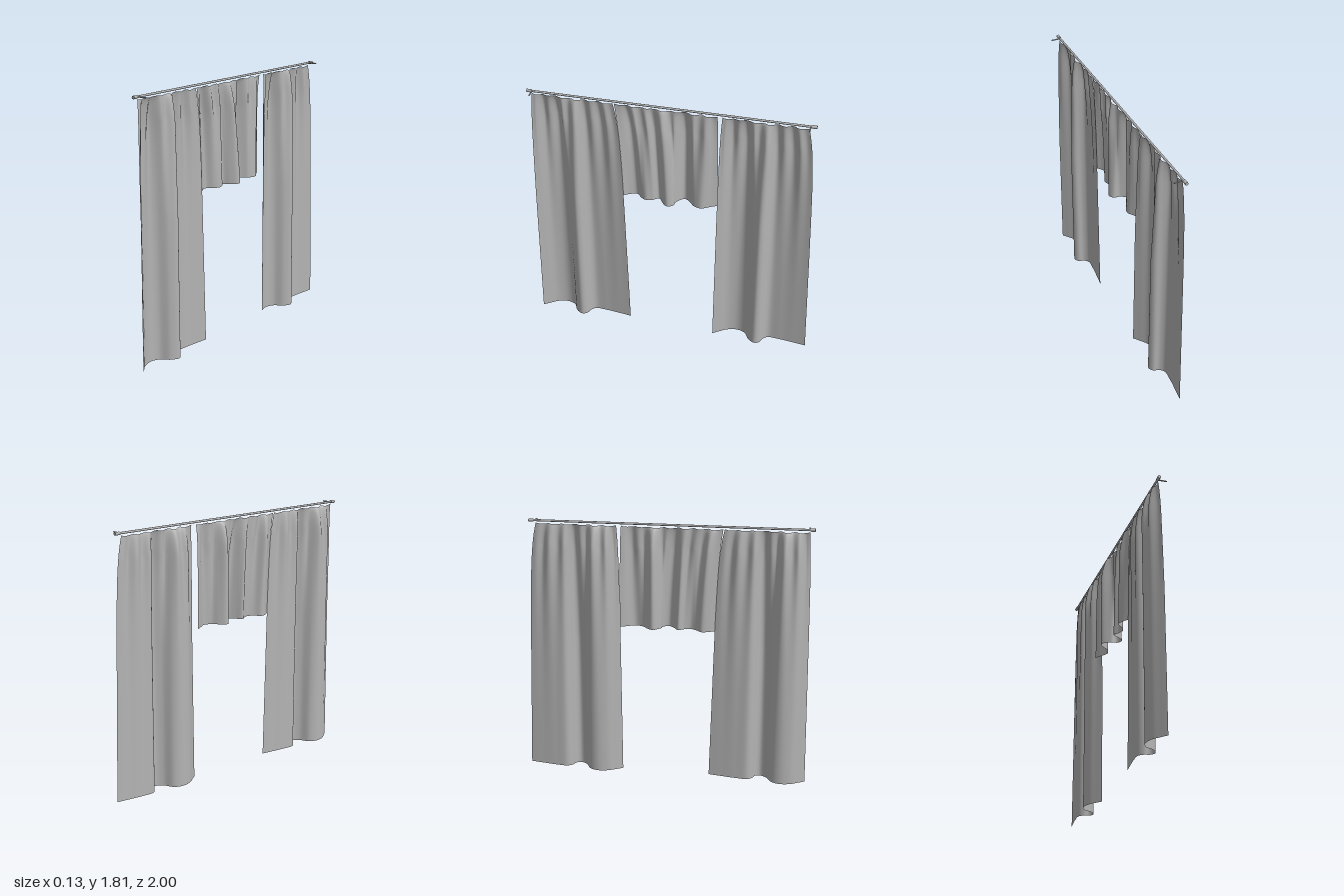
import * as THREE from 'three';

const fabric = new THREE.MeshStandardMaterial({ color: 0xb4b4b4, side: THREE.DoubleSide });
fabric.name = 'grey';

const curve = pts => new THREE.CatmullRomCurve3(pts.map(([z, x]) => new THREE.Vector3(x, 0, z)), false, 'centripetal');
const lerp = THREE.MathUtils.lerp;

// Hanging cloth: a gathered top edge that opens into the wide folds of the hem profile.
function cloth({ name, hem, topZ, topY, hemY, pleats, cols = 120, rows = 60 }) {
  const hemPoints = curve(hem).getSpacedPoints(cols);
  const geo = new THREE.PlaneGeometry(1, 1, cols, rows);
  const pos = geo.attributes.position;
  for (let j = 0; j <= rows; j++) {
    const t = (j / rows) ** 1.5; // denser rows near the gathers
    for (let i = 0; i <= cols; i++) {
      const u = i / cols;
      const p = hemPoints[i];
      const yTop = topY - 0.007 * Math.abs(Math.sin(pleats * Math.PI * u));
      const y = lerp(yTop, lerp(hemY[0], hemY[1], u), t);
      const d = Math.max(0, topY - y);
      // folds swell quickly below the heading, a little slower towards +x
      const s = Math.min(1, d / 0.25);
      let swell = Math.sqrt(1 - (1 - s) ** 2);
      if (p.x > 0) swell *= 0.55 + 0.45 * Math.min(1, d / 0.8);
      // narrow gathers fade out down the cloth
      const gather = (0.008 + 0.014 * Math.min(1, d / 0.15)) * Math.exp(-d * 2.4);
      const wave = Math.sin(pleats * 2 * Math.PI * u + 0.6 * Math.sin(5 * u));
      const edge = Math.min(1, 8 * u, 8 * (1 - u));
      const x = -0.005 * (1 - swell) + p.x * swell * (1 - 0.25 * Math.exp(-d * 3)) + gather * wave * edge;
      // width opens from the heading to the hem
      const open = 0.45 * (1 - Math.exp(-d * 6)) + 0.55 * t;
      const z = lerp(lerp(topZ[0], topZ[1], u), p.z, open);
      pos.setXYZ(j * (cols + 1) + i, x, y, z);
    }
  }
  geo.computeVertexNormals();
  const mesh = new THREE.Mesh(geo, fabric);
  mesh.name = name;
  return mesh;
}

function cylinder(name, radius, length, axis, x, y, z) {
  const geo = new THREE.CylinderGeometry(radius, radius, length, 16);
  if (axis === 'z') geo.rotateX(Math.PI / 2);
  else geo.rotateZ(Math.PI / 2);
  const mesh = new THREE.Mesh(geo, fabric);
  mesh.name = name;
  mesh.position.set(x, y, z);
  return mesh;
}

export function createModel() {
  const group = new THREE.Group();
  group.name = 'curtains';

  // Two matching full-length panels
  const panelHem = [[0.99, 0.02], [0.95, -0.01], [0.89, -0.05], [0.82, -0.064], [0.76, -0.04],
    [0.72, 0.025], [0.67, 0.054], [0.635, 0.035], [0.62, -0.005], [0.585, -0.033],
    [0.5, -0.03], [0.4, -0.018], [0.31, -0.005]];
  [['leftPanel', 0], ['rightPanel', -1.31]].forEach(([name, shift]) => {
    const panel = cloth({
      name, hem: panelHem, topZ: [0.965, 0.4], topY: 1.79, hemY: [0.004, 0.016], pleats: 6,
    });
    panel.position.z = shift;
    group.add(panel);
  });

  // Short valance between the panels
  group.add(cloth({
    name: 'valance',
    hem: [[0.34, -0.005], [0.3, -0.035], [0.25, -0.045], [0.21, -0.01], [0.17, 0.02], [0.13, 0],
      [0.09, -0.03], [0.055, 0.02], [0.01, 0.06], [-0.025, 0.045], [-0.035, -0.015], [-0.08, -0.062],
      [-0.13, -0.035], [-0.17, 0.015], [-0.21, 0.03], [-0.26, 0], [-0.32, -0.035]],
    topZ: [0.39, -0.31], topY: 1.79, hemY: [1.08, 1.085], pleats: 7, rows: 40,
  }));

  // Rod with end caps and wall brackets
  const rodY = 1.806, rodX = -0.005;
  group.add(cylinder('rod', 0.0075, 1.94, 'z', rodX, rodY, 0.02));
  [[0.983, 0.96], [-0.943, -0.92]].forEach(([capZ, bracketZ]) => {
    group.add(cylinder('endCap', 0.011, 0.034, 'z', rodX, rodY, capZ));
    group.add(cylinder('bracket', 0.0045, 0.065, 'x', 0.0275, rodY, bracketZ));
  });
  return group;
}
